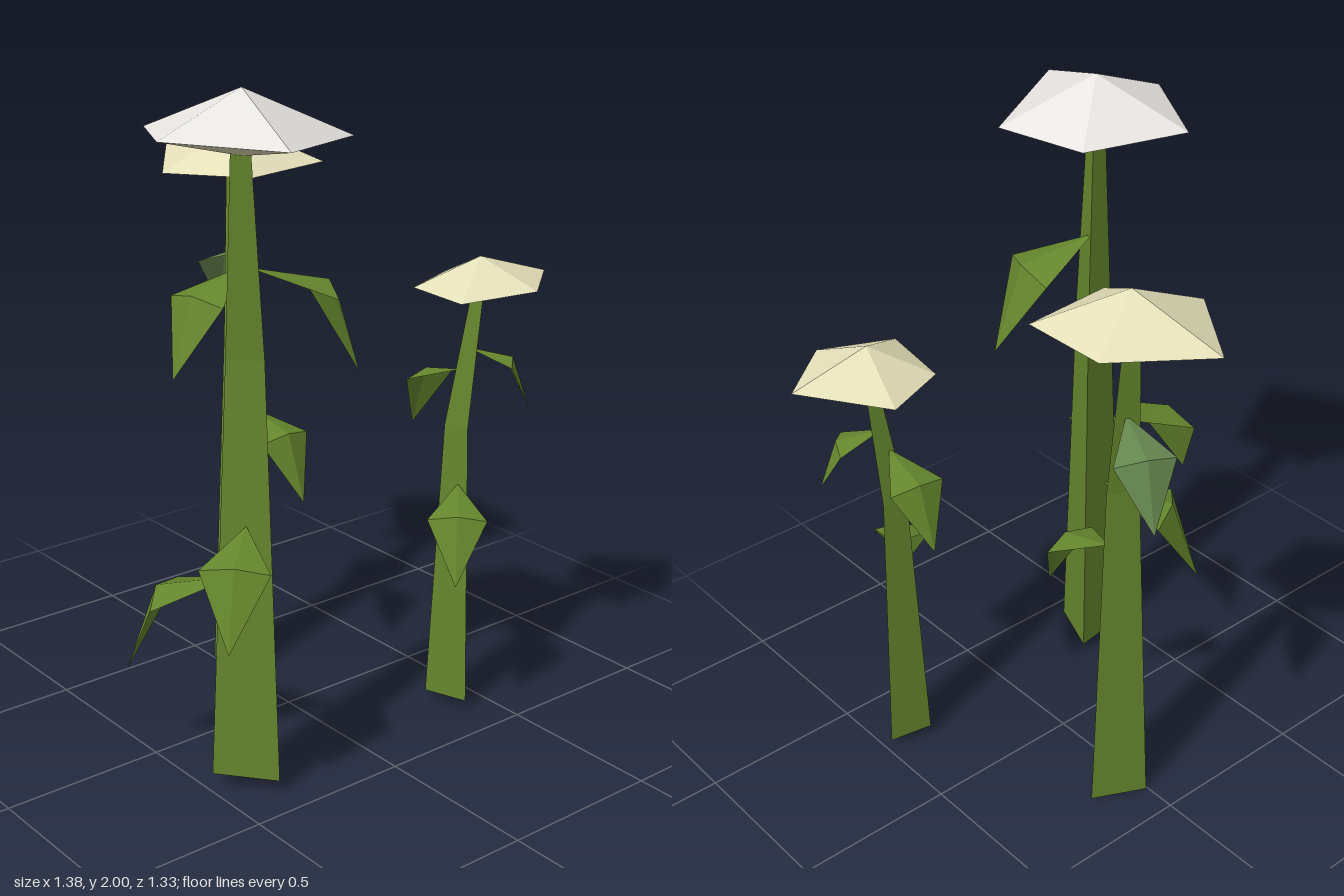
import * as THREE from 'three';

function paint(name, color, side = THREE.FrontSide) {
  const material = new THREE.MeshStandardMaterial({ color, side });
  material.name = name;
  return material;
}
const plantGreen = paint('plantGreen', 0x65862d, THREE.DoubleSide);
const dullGreen = paint('dullGreen', 0x66864f, THREE.DoubleSide);
const cream = paint('cream', 0xe4e0b9);
const paleGrey = paint('paleGrey', 0xe8e5e2);

// Point at a distance and compass angle (degrees, from +x towards +z) around a vertical axis
function polar(radius, degrees, y, x = 0, z = 0) {
  const a = THREE.MathUtils.degToRad(degrees);
  return [x + radius * Math.cos(a), y, z + radius * Math.sin(a)];
}

// Faceted mesh from a list of triangles, each of three corners
function facets(name, triangles, material) {
  const geometry = new THREE.BufferGeometry();
  geometry.setAttribute('position', new THREE.Float32BufferAttribute(triangles.flat(2), 3));
  geometry.computeVertexNormals();
  const mesh = new THREE.Mesh(geometry, material);
  mesh.name = name;
  return mesh;
}

// Centre of the flower head, off to one side because the stem bends
const headX = 0.055;
const headZ = 0.032;

// Three-sided tapering stem with one bend, open at both ends
function stem() {
  const ring = (y, radius, x, z) => [214, 94, -26].map((a) => polar(radius, a, y, x, z));
  const rings = [ring(0, 0.113, 0, 0), ring(1.235, 0.062, 0, 0), ring(1.81, 0.031, headX, headZ)];
  const triangles = [];
  for (let r = 0; r < 2; r++) {
    const lo = rings[r], hi = rings[r + 1];
    for (let i = 0; i < 3; i++) {
      const j = (i + 1) % 3;
      triangles.push([lo[i], lo[j], hi[j]], [lo[i], hi[j], hi[i]]);
    }
  }
  return facets('stem', triangles, plantGreen);
}

// Uneven, slightly tilted five-sided flower head: peaked top and shallow underside
function flowerHead(material) {
  const rim = [
    [0.338, 0, 1.855], [0.27, 70, 1.855], [0.299, 141.5, 1.835], [0.269, 212.5, 1.827], [0.294, 278.5, 1.826],
  ].map(([radius, angle, y]) => polar(radius, angle, y, headX, headZ));
  const peak = [headX, 1.96, headZ];
  const low = [headX, 1.786, headZ];
  const next = (i) => rim[(i + 1) % rim.length];
  const head = new THREE.Group();
  head.name = 'flowerHead';
  head.add(
    facets('headTop', rim.map((p, i) => [peak, next(i), p]), material),
    facets('headUnderside', rim.map((p, i) => [low, p, next(i)]), cream),
  );
  return head;
}

// Drooping leaf folded along a central ridge, growing along +x
function leaf([angle, height, size, offset, material = plantGreen]) {
  const base = [0, 0, 0];
  const ridge = [0.235, -0.055, 0];
  const tip = [0.327, -0.327, 0];
  const [left, right] = [-0.123, 0.123].map((z) => [0.21, -0.08, z]);
  const mesh = facets('leaf', [
    [base, right, ridge], [base, ridge, left],
    [ridge, right, tip], [ridge, tip, left],
  ], material);
  mesh.scale.setScalar(size);
  mesh.position.set(...polar(offset, angle, height));
  mesh.rotation.y = -THREE.MathUtils.degToRad(angle);
  return mesh;
}

// The same plant at three sizes and turns; each leaf is [angle, height, size, offset, colour]
const upperLeaf = [-91, 1.48, 1, 0];
const plants = [
  {
    name: 'tallPlant', position: [-0.375, 0.04, 0.298], turn: 106.8, size: 1, material: paleGrey,
    leaves: [upperLeaf, [31, 0.765, 0.8, 0.04], [127, 0.595, 1, 0.04]],
  },
  {
    name: 'middlePlant', position: [0.062, 0, -0.313], turn: -97.8, size: 0.895, material: cream,
    leaves: [upperLeaf, [31, 1.52, 0.82, 0.04, dullGreen], [184, 0.99, 0.84, 0.045]],
  },
  {
    name: 'shortPlant', position: [0.411, 0.03, 0.298], turn: 6.3, size: 0.712, material: cream,
    leaves: [upperLeaf, [29, 1.575, 0.82, 0.02], [127, 0.985, 1, 0.035]],
  },
];

export function createModel() {
  const model = new THREE.Group();
  model.name = 'flowerCluster';
  for (const { name, position, turn, size, material, leaves } of plants) {
    const plant = new THREE.Group();
    plant.name = name;
    plant.add(stem(), flowerHead(material), ...leaves.map(leaf));
    plant.position.set(...position);
    plant.rotation.y = -THREE.MathUtils.degToRad(turn);
    plant.scale.setScalar(size);
    model.add(plant);
  }
  return model;
}
